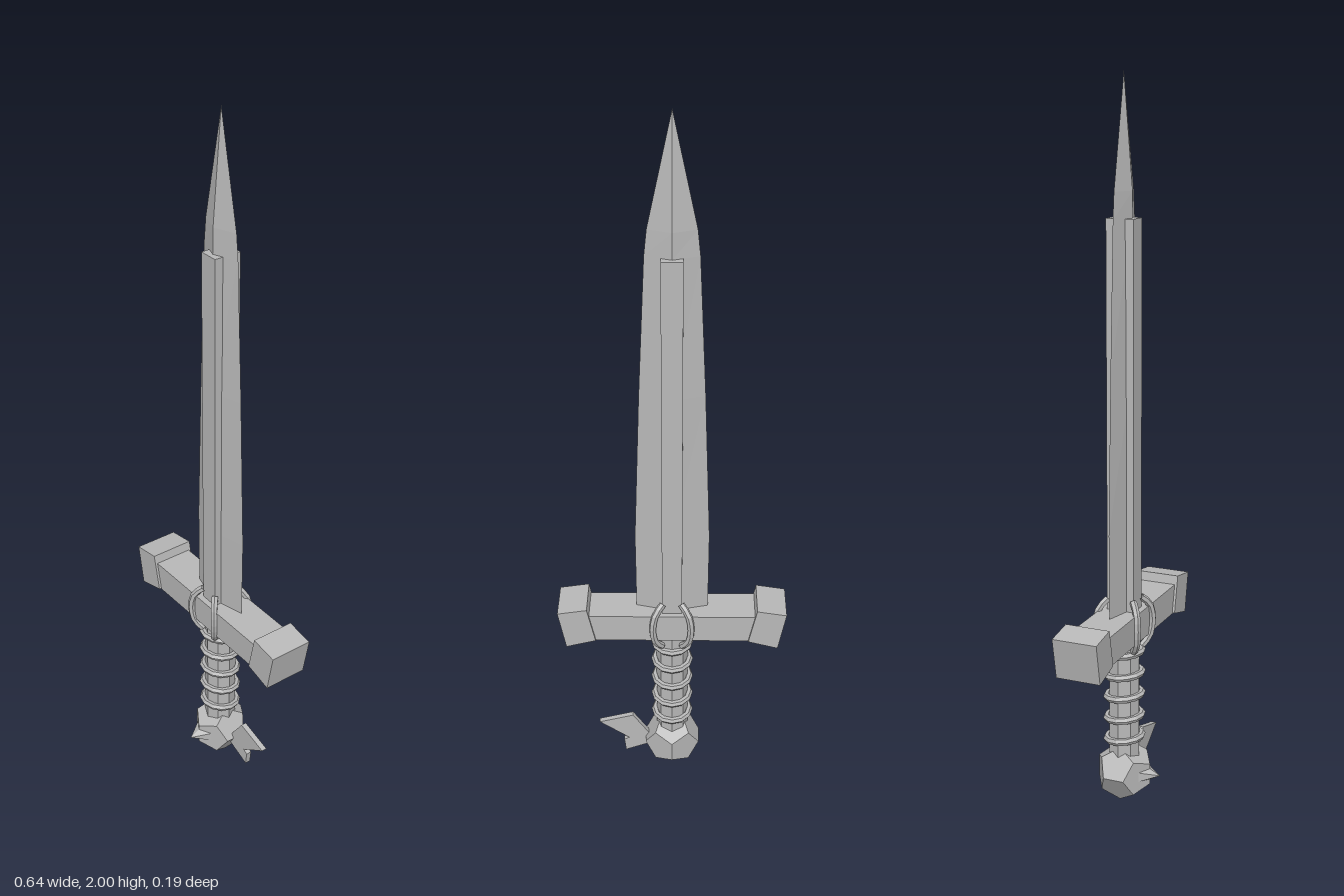
import * as THREE from 'three';

const steel = new THREE.MeshStandardMaterial({ color: 0xb8b8b8, flatShading: true, side: THREE.DoubleSide });
steel.name = 'grey steel';

export function createModel() {
  const model = new THREE.Group();
  model.name = 'sword';
  const sword = new THREE.Group();
  sword.name = 'swordBody';
  sword.position.z = -0.016;
  model.add(sword);

  const add = (name, geometry, x = 0, y = 0, z = 0) => {
    const mesh = new THREE.Mesh(geometry, steel);
    mesh.name = name;
    mesh.position.set(x, y, z);
    sword.add(mesh);
    return mesh;
  };
  // Flat outline extruded evenly about z = 0
  const plate = (points, depth) => {
    const shape = new THREE.Shape(points.map(([x, y]) => new THREE.Vector2(x, y)));
    return new THREE.ExtrudeGeometry(shape, { depth, bevelEnabled: false }).translate(0, 0, -depth / 2);
  };

  // Blade: diamond cross-sections [y, half width, half thickness] up to the point
  const sections = [[0.52, 0.1, 0.026], [0.8, 0.102, 0.026], [1.24, 0.087, 0.026],
    [1.63, 0.07, 0.025], [1.7, 0.063, 0.024], [2, 0, 0]];
  const corner = ([y, w, t], k) => [[w, y, 0], [0, y, t], [-w, y, 0], [0, y, -t]][k % 4];
  const verts = [];
  for (let i = 0; i < sections.length - 1; i++) {
    for (let k = 0; k < 4; k++) {
      const a = corner(sections[i], k), b = corner(sections[i], k + 1);
      const c = corner(sections[i + 1], k + 1), d = corner(sections[i + 1], k);
      verts.push(...a, ...d, ...b);
      if (i < sections.length - 2) verts.push(...b, ...d, ...c);
    }
  }
  // Orient every face outward
  for (let i = 0; i < verts.length; i += 9) {
    const [p, q, r] = [0, 3, 6].map(o => new THREE.Vector3().fromArray(verts, i + o));
    const n = q.clone().sub(p).cross(r.clone().sub(p));
    const mid = p.clone().add(q).add(r);
    if (n.x * mid.x + n.z * mid.z < 0) {
      q.toArray(verts, i + 6);
      r.toArray(verts, i + 3);
    }
  }
  const blade = new THREE.BufferGeometry();
  blade.setAttribute('position', new THREE.Float32BufferAttribute(verts, 3));
  blade.computeVertexNormals();
  add('blade', blade);
  add('bladeRib', new THREE.BoxGeometry(0.056, 1.09, 0.078), 0, 1.085, 0);

  // Crossguard with tilted end blocks
  add('guardBar', new THREE.BoxGeometry(0.47, 0.083, 0.112), 0, 0.523, 0);
  for (const s of [1, -1]) {
    const end = [[0.215, 0.484], [0.298, 0.462], [0.32, 0.577], [0.238, 0.59]];
    add(s > 0 ? 'guardEndLeft' : 'guardEndRight', plate(end.map(([x, y]) => [s * x, y]), 0.126));
  }

  // Four claws gripping the middle of the guard
  for (const sx of [1, -1]) {
    for (const sz of [1, -1]) {
      const path = [[0.026, 0.595, 0.038], [0.046, 0.57, 0.056], [0.054, 0.523, 0.062],
        [0.046, 0.476, 0.056], [0.028, 0.45, 0.04]];
      const curve = new THREE.CatmullRomCurve3(path.map(([x, y, z]) => new THREE.Vector3(sx * x, y, sz * z)));
      add('guardClaw', new THREE.TubeGeometry(curve, 8, 0.01, 6));
    }
  }

  // Grip with slanted wrapping rings
  add('grip', new THREE.CylinderGeometry(0.045, 0.045, 0.37, 8), 0, 0.3, 0);
  for (let i = 0; i < 5; i++) {
    const ring = new THREE.TorusGeometry(0.05, 0.01, 6, 12).rotateX(Math.PI / 2 - 0.12);
    add('gripRing', ring, 0, 0.183 + i * 0.0635, 0);
  }

  // Faceted pommel with a front stud
  add('pommel', new THREE.DodecahedronGeometry(0.084), 0, 0.08, 0);
  add('pommelStud', new THREE.ConeGeometry(0.042, 0.055, 6).rotateX(Math.PI / 2).scale(1, 0.7, 1), 0, 0.08, 0.081);

  // Forked ribbon on the side of the pommel
  add('ribbon', plate([[0.05, 0.06], [0.138, 0.026], [0.143, 0.066], [0.128, 0.074],
    [0.215, 0.134], [0.116, 0.161], [0.063, 0.085]], 0.016));

  return model;
}
